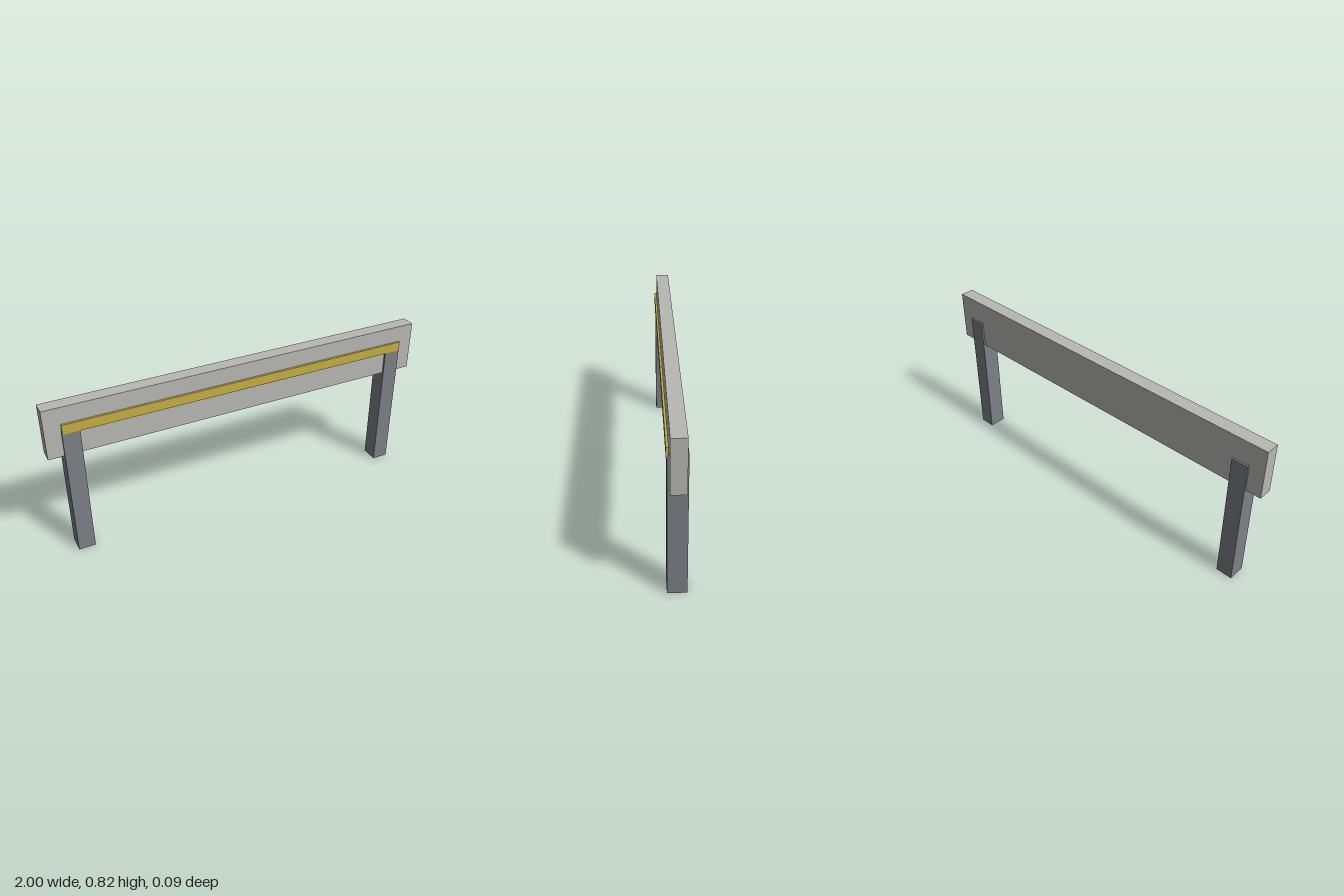
import * as THREE from 'three';

export function createModel() {
  const group = new THREE.Group();
  const paint = (name, color) => {
    const m = new THREE.MeshStandardMaterial({ color });
    m.name = name;
    return m;
  };
  const paleGrey = paint('pale grey', 0xb8b8b4);
  const slateGrey = paint('slate grey', 0x7c8086);
  const yellow = paint('mustard yellow', 0xc6ae45);

  // Box given by its lower and upper corners
  const box = (name, material, [x0, y0, z0], [x1, y1, z1]) => {
    const mesh = new THREE.Mesh(new THREE.BoxGeometry(x1 - x0, y1 - y0, z1 - z0), material);
    mesh.position.set((x0 + x1) / 2, (y0 + y1) / 2, (z0 + z1) / 2);
    mesh.name = name;
    group.add(mesh);
    return mesh;
  };

  // Long upright board
  box('beam', paleGrey, [-1, 0.562, -0.037], [1, 0.82, 0.033]);

  // Posts, slightly deeper than the board they carry
  for (const side of [-1, 1]) {
    const post = box(side > 0 ? 'leftPost' : 'rightPost', slateGrey, [0.837, 0, -0.047], [0.922, 0.7, 0.043]);
    post.position.x *= side;
  }

  // Strip along the front, standing just proud of the board
  box('frontStrip', yellow, [-0.92, 0.685, 0.036], [0.92, 0.735, 0.047]);

  return group;
}
